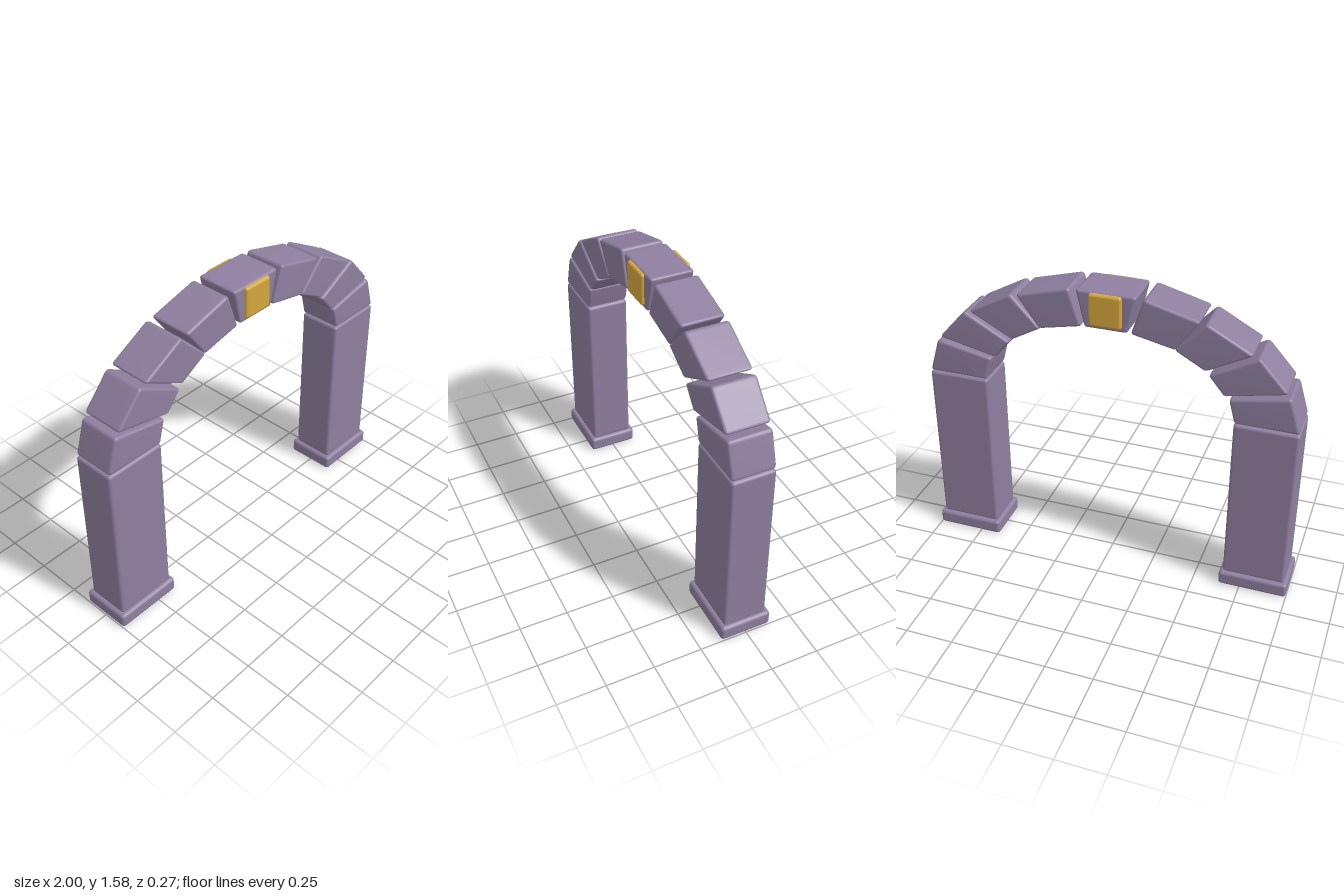
import * as THREE from 'three';
import { mergeVertices } from 'three/addons/utils/BufferGeometryUtils.js';
import { RoundedBoxGeometry } from 'three/addons/geometries/RoundedBoxGeometry.js';

const DEPTH = 0.23;
const EDGE = 0.016;

// Rounded block from min/max extents in x and y, centred on z
function block(x0, x1, y0, y1, depth, radius = EDGE) {
  const g = new RoundedBoxGeometry(x1 - x0, y1 - y0, depth, 2, radius);
  return g.translate((x0 + x1) / 2, (y0 + y1) / 2, 0);
}

// Rounded block warped to a four-cornered front outline
// (inner-low, inner-high, outer-high, outer-low seen as bl, br, tr, tl)
function wedge([bl, br, tr, tl]) {
  const dist = (a, b) => Math.hypot(a[0] - b[0], a[1] - b[1]);
  const w = (dist(bl, br) + dist(tl, tr)) / 2;
  const h = (dist(bl, tl) + dist(br, tr)) / 2;
  let g = new RoundedBoxGeometry(w, h, DEPTH, 2, EDGE);
  const p = g.attributes.position;
  const mix = THREE.MathUtils.lerp;
  for (let i = 0; i < p.count; i++) {
    const u = p.getX(i) / w + 0.5, v = p.getY(i) / h + 0.5;
    const [x, y] = [0, 1].map((k) => mix(mix(bl[k], br[k], u), mix(tl[k], tr[k], u), v));
    p.setXY(i, x, y);
  }
  g.deleteAttribute('normal');
  g.deleteAttribute('uv');
  g = mergeVertices(g, 1e-5);
  g.computeVertexNormals();
  return g;
}

export function createModel() {
  const stone = new THREE.MeshStandardMaterial({ color: 0x8e7f9f });
  stone.name = 'purple stone';
  const gold = new THREE.MeshStandardMaterial({ color: 0xd4a73c });
  gold.name = 'gold';

  const model = new THREE.Group();
  model.name = 'stoneArch';
  const add = (name, geometry, material = stone) => {
    const mesh = new THREE.Mesh(geometry, material);
    mesh.name = name;
    model.add(mesh);
  };

  // Arch stones of the +x half, from the crown down: bl, br, tr, tl
  const archStones = [
    [[0.125, 1.385], [0.35, 1.337], [0.468, 1.503], [0.188, 1.578]],
    [[0.343, 1.337], [0.5, 1.25], [0.732, 1.373], [0.497, 1.5]],
    [[0.516, 1.232], [0.598, 1.132], [0.908, 1.198], [0.757, 1.366]],
    [[0.623, 1.12], [0.656, 0.992], [0.979, 0.992], [0.922, 1.18]],
  ];

  for (const side of [1, -1]) {
    const prefix = side > 0 ? 'left' : 'right';
    const [a, b] = side > 0 ? [0.653, 0.981] : [-0.981, -0.653];
    const [c, d] = side > 0 ? [0.636, 1] : [-1, -0.636];
    add(prefix + 'Base', block(c, d, 0, 0.08, 0.27, 0.018));
    add(prefix + 'Pillar', block(a, b, 0.075, 0.987, DEPTH));
    archStones.forEach(([bl, br, tr, tl], i) => {
      const corners = side > 0
        ? [bl, br, tr, tl]
        : [br, bl, tl, tr].map(([x, y]) => [-x, y]);
      add(`${prefix}ArchStone${i + 1}`, wedge(corners));
    });
  }

  // Keystone with a gold block showing on both faces
  add('keystone', wedge([[-0.11, 1.386], [0.11, 1.386], [0.155, 1.58], [-0.155, 1.58]]));
  add('keystoneInlay', block(-0.084, 0.084, 1.405, 1.574, 0.262, 0.014), gold);

  return model;
}
